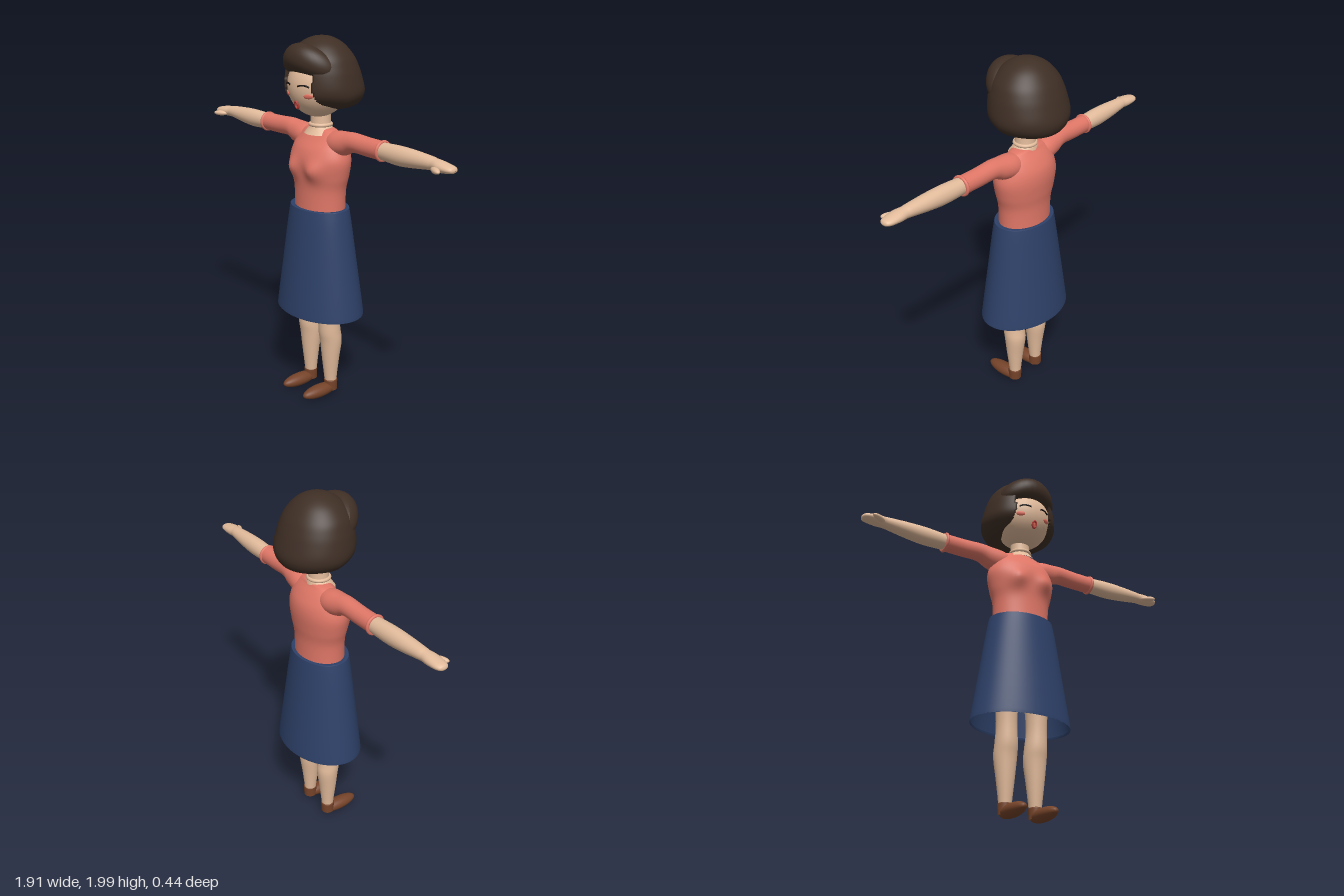
import * as THREE from 'three';

const mat = (name, color, side = THREE.FrontSide) => {
  const m = new THREE.MeshStandardMaterial({ color, side });
  m.name = name;
  return m;
};

// Catmull-Rom subdivision of a list of numeric rings
function refine(rings, steps) {
  const out = [];
  const at = (i) => rings[Math.min(Math.max(i, 0), rings.length - 1)];
  for (let i = 0; i < rings.length - 1; i++) {
    for (let s = 0; s < steps; s++) {
      const t = s / steps;
      out.push(at(i).map((b, k) => {
        const a = at(i - 1)[k], c = at(i + 1)[k], d = at(i + 2)[k];
        return b + 0.5 * t * (c - a + t * (2 * a - 5 * b + 4 * c - d + t * (3 * (b - c) + d - a)));
      }));
    }
  }
  out.push(at(rings.length - 1));
  return out;
}

// Elliptical rings [position, centre1, centre2, radius1, radius2] along y or x; warp may move each point
function loft(rings, { axis = 'y', n = 40, steps = 4, warp } = {}) {
  const rows = refine(rings, steps), pos = [], idx = [];
  rows.forEach(([t, c1, c2, r1, r2], i) => {
    for (let j = 0; j < n; j++) {
      const a = (j / n) * Math.PI * 2, ra = Math.max(r1, 0.0005), rb = Math.max(r2, 0.0005);
      const p = axis === 'y'
        ? new THREE.Vector3(c1 + ra * Math.sin(a), t, c2 + rb * Math.cos(a))
        : new THREE.Vector3(t, c1 + ra * Math.cos(a), c2 + rb * Math.sin(a));
      if (warp) warp(p);
      pos.push(p.x, p.y, p.z);
      if (i < rows.length - 1) {
        const k = (j + 1) % n, lo = i * n, hi = lo + n;
        idx.push(lo + j, lo + k, hi + k, lo + j, hi + k, hi + j);
      }
    }
  });
  const g = new THREE.BufferGeometry();
  g.setAttribute('position', new THREE.Float32BufferAttribute(pos, 3));
  g.setIndex(idx);
  g.computeVertexNormals();
  return g;
}

// Rings given as [y, half width, front z, back z]
const body = (list) => list.map(([y, rx, f, b]) => [y, 0, (f + b) / 2, rx, (f - b) / 2]);

function mirrorX(geometry) {
  const g = geometry.clone().scale(-1, 1, 1), ix = g.index;
  for (let i = 0; i < ix.count; i += 3) {
    const a = ix.getX(i);
    ix.setX(i, ix.getX(i + 2));
    ix.setX(i + 2, a);
  }
  return g;
}

const ellipsoid = (x, y, z, rx, ry, rz) =>
  new THREE.SphereGeometry(1, 32, 20).scale(rx, ry, rz).translate(x, y, z);

export function createModel() {
  const skin = mat('skin', 0xe2bb9b);
  const shirt = mat('coral shirt', 0xe07767);
  const navy = mat('navy skirt', 0x2e4169, THREE.DoubleSide);
  const brown = mat('dark brown hair', 0x3f2f25);
  const leather = mat('brown shoe', 0x754329);
  const black = mat('eye line', 0x1c1513);
  const blush = mat('blush', 0xe2705f);
  const lip = mat('lip red', 0xb9403a);

  const model = new THREE.Group();
  const add = (name, geometry, material) => {
    const m = new THREE.Mesh(geometry, material);
    m.name = name;
    model.add(m);
    return m;
  };
  const pair = (name, geometry, material) => {
    add('left' + name, geometry, material);
    add('right' + name, mirrorX(geometry), material);
  };

  // Shirt body with a softly raised bust
  add('shirtBody', loft(body([
    [1.08, 0.16, 0.135, -0.1], [1.2, 0.165, 0.133, -0.1], [1.28, 0.185, 0.138, -0.11],
    [1.36, 0.198, 0.143, -0.117], [1.42, 0.185, 0.127, -0.11], [1.47, 0.165, 0.092, -0.085],
    [1.51, 0.13, 0.062, -0.055], [1.527, 0.07, 0.045, -0.04], [1.53, 0, 0.01, 0.01],
  ]), {
    n: 64, steps: 6,
    warp: (p) => {
      if (p.z < 0.03) return;
      const d = ((Math.abs(p.x) - 0.085) / 0.05) ** 2 + ((p.y - 1.315) / 0.05) ** 2;
      p.z += 0.03 * Math.exp(-d);
    },
  }), shirt);

  // Skirt, open below
  add('skirt', loft([
    [0.52, 0, 0.018, 0.277, 0.2], [0.53, 0, 0.018, 0.279, 0.202], [0.8, 0, 0.019, 0.236, 0.172],
    [1.0, 0, 0.02, 0.204, 0.15], [1.09, 0, 0.02, 0.187, 0.139], [1.103, 0, 0.02, 0.18, 0.134],
    [1.1, 0, 0.02, 0.15, 0.11],
  ], { n: 64 }), navy);

  // Arms, sleeves and cuffs
  pair('Sleeve', loft([
    [0.06, 1.45, 0.003, 0.06, 0.055], [0.13, 1.46, 0.003, 0.066, 0.066], [0.2, 1.47, 0.004, 0.062, 0.058],
    [0.26, 1.485, 0.005, 0.051, 0.05], [0.36, 1.482, 0.005, 0.049, 0.047], [0.475, 1.481, 0.006, 0.048, 0.047],
  ], { axis: 'x' }), shirt);
  pair('Cuff', new THREE.TorusGeometry(0.046, 0.009, 12, 40).rotateY(Math.PI / 2)
    .translate(0.472, 1.481, 0.006), shirt);
  pair('Forearm', loft([
    [0.42, 1.481, 0.007, 0.04, 0.04], [0.5, 1.481, 0.008, 0.045, 0.044], [0.6, 1.481, 0.01, 0.049, 0.046],
    [0.7, 1.484, 0.011, 0.043, 0.043], [0.8, 1.487, 0.013, 0.033, 0.036], [0.83, 1.486, 0.015, 0.03, 0.034],
    [0.87, 1.484, 0.018, 0.028, 0.04], [0.92, 1.482, 0.018, 0.021, 0.037], [0.945, 1.481, 0.018, 0.015, 0.027],
    [0.953, 1.48, 0.018, 0.007, 0.013], [0.955, 1.48, 0.018, 0, 0],
  ], { axis: 'x' }), skin);
  pair('Thumb', ellipsoid(0, 0, 0, 0.044, 0.015, 0.018).rotateY(-0.5).translate(0.875, 1.474, 0.062), skin);

  // Legs and shoes
  pair('Leg', loft([
    [0.05, 0.09, 0.012, 0.032, 0.032], [0.1, 0.088, 0.014, 0.035, 0.035], [0.22, 0.088, 0.014, 0.049, 0.048],
    [0.33, 0.088, 0.012, 0.061, 0.061], [0.4, 0.088, 0.022, 0.06, 0.062], [0.52, 0.09, 0.028, 0.055, 0.057],
    [0.75, 0.09, 0.025, 0.07, 0.075], [1.0, 0.085, 0.02, 0.075, 0.085],
  ]), skin);
  pair('Shoe', ellipsoid(0.09, 0.042, 0.094, 0.041, 0.036, 0.116), leather);
  pair('ShoeCollar', loft([
    [0.03, 0.09, 0.015, 0.036, 0.037], [0.075, 0.09, 0.014, 0.037, 0.038],
    [0.09, 0.09, 0.014, 0.036, 0.037], [0.092, 0.09, 0.014, 0.028, 0.028],
  ]), leather);

  // Neck with a ring
  add('neck', loft(body([
    [1.495, 0.09, 0.095, -0.055], [1.515, 0.078, 0.08, -0.052], [1.53, 0.063, 0.071, -0.048],
    [1.55, 0.055, 0.065, -0.043], [1.65, 0.052, 0.063, -0.04],
  ])), skin);
  add('neckRing', new THREE.TorusGeometry(0.055, 0.01, 12, 40).rotateX(Math.PI / 2)
    .translate(0, 1.543, 0.012), skin);

  // Head
  const HY = 1.75, HZ = 0.03, RX = 0.162, RY = 0.165, RZ = 0.158;
  const faceZ = (x, y) => HZ + RZ * Math.sqrt(1 - (x / RX) ** 2 - ((y - HY) / RY) ** 2);
  add('head', ellipsoid(0, HY, HZ, RX, RY, RZ), skin);

  // Bob hair: the front is pushed inside the head to leave the face open
  add('hair', loft(body([
    [1.645, 0, 0, -0.02], [1.637, 0.09, 0.1, -0.12], [1.638, 0.135, 0.15, -0.165], [1.652, 0.172, 0.175, -0.192],
    [1.685, 0.204, 0.187, -0.212], [1.73, 0.216, 0.19, -0.217], [1.8, 0.207, 0.188, -0.198],
    [1.85, 0.194, 0.18, -0.18], [1.9, 0.173, 0.165, -0.155], [1.95, 0.13, 0.126, -0.115],
    [1.98, 0.085, 0.085, -0.075], [1.996, 0.04, 0.045, -0.035], [2.0, 0, 0.005, 0.004],
  ]), {
    n: 120, steps: 5,
    warp: (p) => {
      const edge = 0.105 + 0.12 * Math.max(0, 1.72 - p.y);
      const open = p.y < 1.86 && p.z > 0.04 && Math.abs(p.x) < edge;
      if (p.y < 1.8) p.y += ((1.8 - p.y) / 0.16) * 0.25 * Math.max(p.z, 0);
      if (open) p.z = 0.04;
    },
  }), brown);

  // Rolled fringe, bent round the forehead
  const fringe = ellipsoid(0, 0, 0, 0.172, 0.075, 0.07);
  const fp = fringe.attributes.position;
  for (let i = 0; i < fp.count; i++) {
    const x = fp.getX(i), fat = 1 + 9 * x * x;
    fp.setXYZ(i, x, 1.895 + fp.getY(i) * fat - 1.7 * x * x, 0.14 + fp.getZ(i) * fat - 2.2 * x * x);
  }
  fringe.computeVertexNormals();
  add('fringe', fringe, brown);

  // Closed eyes following the face
  const lash = [[0.028, 1.76], [0.045, 1.765], [0.07, 1.766], [0.092, 1.758]]
    .map(([x, y]) => new THREE.Vector3(x, y, faceZ(x, y) + 0.001));
  pair('Eye', new THREE.TubeGeometry(new THREE.CatmullRomCurve3(lash), 20, 0.0045, 8), black);

  // Cheeks
  const cx = 0.083, cy = 1.712, cz = faceZ(cx, cy);
  const normal = new THREE.Vector3(cx / RX ** 2, (cy - HY) / RY ** 2, (cz - HZ) / RZ ** 2).normalize();
  const turn = new THREE.Quaternion().setFromUnitVectors(new THREE.Vector3(0, 0, 1), normal);
  pair('Cheek', ellipsoid(0, 0, 0, 0.025, 0.013, 0.006).applyQuaternion(turn).translate(cx, cy, cz), blush);

  // Rounded open mouth
  const my = 1.66, mz = faceZ(0, my);
  add('lips', new THREE.TorusGeometry(0.012, 0.004, 10, 32).scale(1, 1.6, 1.4)
    .rotateX(0.3).translate(0, my, mz + 0.008), lip);
  add('mouthInside', ellipsoid(0, 0, 0, 0.011, 0.018, 0.004).rotateX(0.3).translate(0, my, mz + 0.004), blush);

  return model;
}
